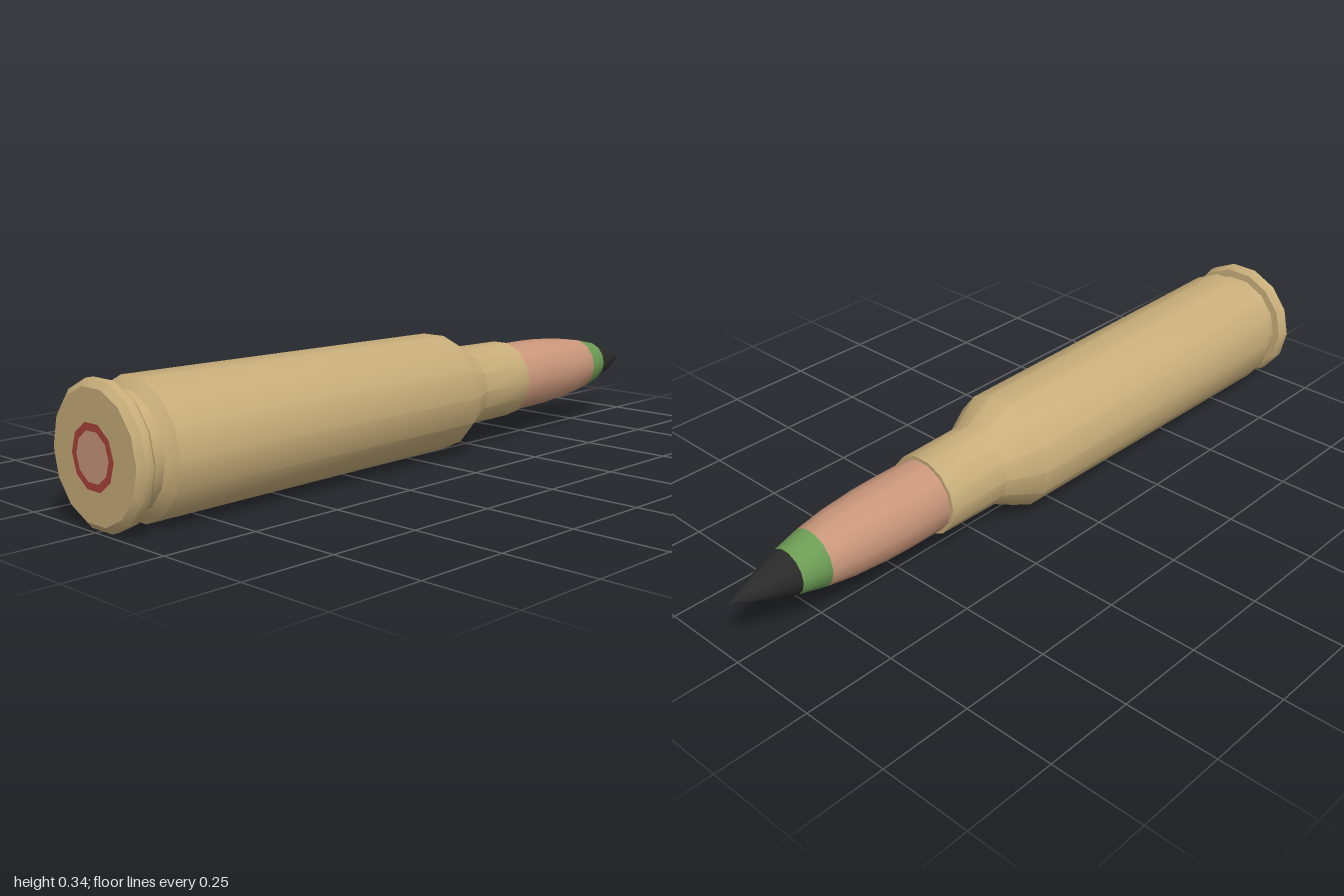
import * as THREE from 'three';
import { toCreasedNormals } from 'three/addons/utils/BufferGeometryUtils.js';

const SIDES = 14;
const AXIS_Y = 0.1706; // height of the long axis, so the lowest flat rests on y = 0

function material(name, color) {
  const m = new THREE.MeshStandardMaterial({ color });
  m.name = name;
  return m;
}

// Turned part along z; profile is a list of [radius, z] running from base (+z) to tip (-z)
function turned(name, profile, mat) {
  const points = profile.map(([r, z]) => new THREE.Vector2(r, -z));
  const lathe = new THREE.LatheGeometry(points, SIDES, Math.PI / 2);
  lathe.rotateX(-Math.PI / 2);
  const mesh = new THREE.Mesh(toCreasedNormals(lathe, 0.6), mat);
  mesh.name = name;
  return mesh;
}

// Flat painted face on the base
function basePlate(name, geometry, z, mat) {
  const mesh = new THREE.Mesh(geometry, mat);
  mesh.position.z = z;
  mesh.name = name;
  return mesh;
}

export function createModel() {
  const brass = material('brass', 0xc8ae7a);
  const copper = material('copper', 0xc9967a);
  const green = material('green band', 0x6c9c54);
  const black = material('black tip', 0x2a2a2a);
  const red = material('red seal', 0xa9423a);

  const model = new THREE.Group();
  model.name = 'cartridge';
  const round = new THREE.Group();
  round.name = 'round';
  round.position.y = AXIS_Y;
  model.add(round);

  round.add(
    // Case: base face, rim, extractor groove, tapered body, shoulder and neck
    turned('case', [
      [0, 0.996], [0.158, 0.996], [0.175, 0.982], [0.175, 0.962], [0.166, 0.952],
      [0.145, 0.95], [0.145, 0.912], [0.171, 0.89],
      [0.162, -0.11], [0.112, -0.21], [0.109, -0.4], [0.097, -0.4],
    ], brass),
    // Projectile, split where its colours change
    turned('bullet', [
      [0.099, -0.38], [0.099, -0.5], [0.097, -0.58], [0.089, -0.68], [0.077, -0.76],
    ], copper),
    turned('greenBand', [[0.077, -0.76], [0.06, -0.835]], green),
    turned('tip', [[0.06, -0.835], [0.037, -0.91], [0.016, -0.965], [0, -1]], black),
    // Primer and its seal ring
    basePlate('primerSeal', new THREE.RingGeometry(0.061, 0.08, 10), 0.999, red),
    basePlate('primer', new THREE.CircleGeometry(0.061, 10), 1, copper),
  );
  return model;
}
